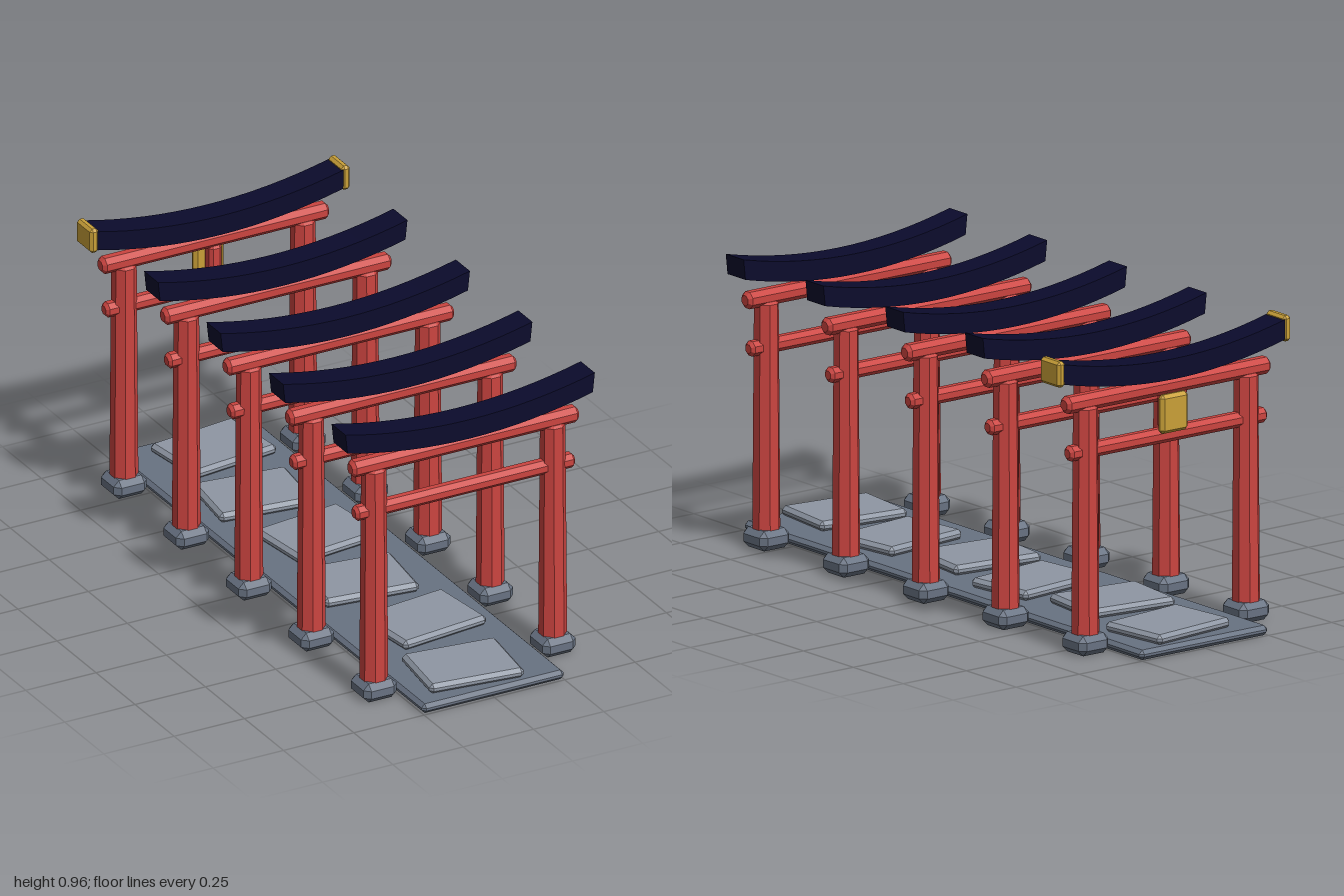
import * as THREE from 'three';
import { ConvexGeometry } from 'three/addons/geometries/ConvexGeometry.js';

const paint = (name, color) => {
  const m = new THREE.MeshStandardMaterial({ color });
  m.name = name;
  return m;
};

// Box with every edge cut by c
function chamferBox(w, h, d, c) {
  const pts = [];
  for (const sx of [-1, 1]) for (const sy of [-1, 1]) for (const sz of [-1, 1]) {
    const x = w / 2, y = h / 2, z = d / 2;
    pts.push(
      new THREE.Vector3(sx * x, sy * (y - c), sz * (z - c)),
      new THREE.Vector3(sx * (x - c), sy * y, sz * (z - c)),
      new THREE.Vector3(sx * (x - c), sy * (y - c), sz * z));
  }
  return new ConvexGeometry(pts);
}

// Eight-sided faceted bar along y with bevelled ends; a0, a1 are half widths across flats
function octagonBar(a0, a1, length, c) {
  const k = 1 / Math.cos(Math.PI / 8), h = length / 2;
  const profile = [[0, -h], [a0 - c, -h], [a0, -h + c], [a1, h - c], [a1 - c, h], [0, h]]
    .map(([r, y]) => new THREE.Vector2(r * k, y));
  const geo = new THREE.LatheGeometry(profile, 8, Math.PI / 8).toNonIndexed();
  geo.computeVertexNormals();
  return geo;
}

// Upswept roof beam
function roofBeam() {
  const n = 16, half = 0.443, bottom = [], top = [];
  for (let i = 0; i <= n; i++) {
    const t = (i / n) * 2 - 1;
    bottom.push(new THREE.Vector2(t * (half - 0.007), 0.834 + 0.054 * t * t));
    top.push(new THREE.Vector2(t * half, 0.9 + 0.054 * t * t));
  }
  const shape = new THREE.Shape([...bottom, ...top.reverse()]);
  return new THREE.ExtrudeGeometry(shape, { depth: 0.09, bevelEnabled: false }).translate(0, 0, -0.045);
}

export function createModel() {
  const red = paint('vermilion', 0xcb4440);
  const navy = paint('navy', 0x0b0b2c);
  const gold = paint('gold', 0xc9a038);
  const darkStone = paint('dark stone', 0x687282);
  const paleStone = paint('pale stone', 0x8e96a3);

  const model = new THREE.Group();
  model.name = 'gatePath';
  const add = (parent, name, geo, mat, x, y, z) => {
    const mesh = new THREE.Mesh(geo, mat);
    mesh.name = name;
    mesh.position.set(x, y, z);
    parent.add(mesh);
    return mesh;
  };

  // Path and its alternating slabs
  add(model, 'path', chamferBox(0.506, 0.032, 2, 0.012), darkStone, 0, 0.016, 0);
  const slab = chamferBox(0.318, 0.034, 0.246, 0.012);
  for (let i = 0; i < 6; i++) {
    const s = i % 2 ? -1 : 1;
    add(model, 'slab', slab, paleStone, s * 0.023, 0.046, -0.84 + i * 0.336).rotation.y = s * 0.12;
  }

  // Five identical gates
  const base = chamferBox(0.118, 0.064, 0.118, 0.019);
  const pillar = octagonBar(0.042, 0.037, 0.765, 0.008);
  const upper = octagonBar(0.027, 0.027, 0.806, 0.011).rotateZ(Math.PI / 2);
  const lower = octagonBar(0.024, 0.024, 0.78, 0.01).rotateZ(Math.PI / 2);
  const roof = roofBeam();
  for (let i = 0; i < 5; i++) {
    const gate = new THREE.Group();
    gate.name = 'gate';
    gate.position.z = -0.8 + i * 0.4;
    for (const s of [-1, 1]) {
      add(gate, 'pillarBase', base, darkStone, s * 0.318, 0.032, 0);
      add(gate, 'pillar', pillar, red, s * 0.318, 0.412, 0);
    }
    add(gate, 'upperBeam', upper, red, 0, 0.806, 0);
    add(gate, 'lowerBeam', lower, red, 0, 0.648, 0);
    add(gate, 'roofBeam', roof, navy, 0, 0, 0);

    // The rearmost gate has gilded roof ends and a plaque on a strut
    if (i === 0) {
      const cap = chamferBox(0.03, 0.083, 0.098, 0.009);
      for (const s of [-1, 1]) add(gate, 'roofCap', cap, gold, s * 0.447, 0.922, 0);
      add(gate, 'strut', chamferBox(0.045, 0.12, 0.045, 0.011), red, 0, 0.727, 0);
      add(gate, 'plaque', chamferBox(0.108, 0.125, 0.03, 0.011), gold, 0, 0.726, -0.037);
    }
    model.add(gate);
  }
  return model;
}
